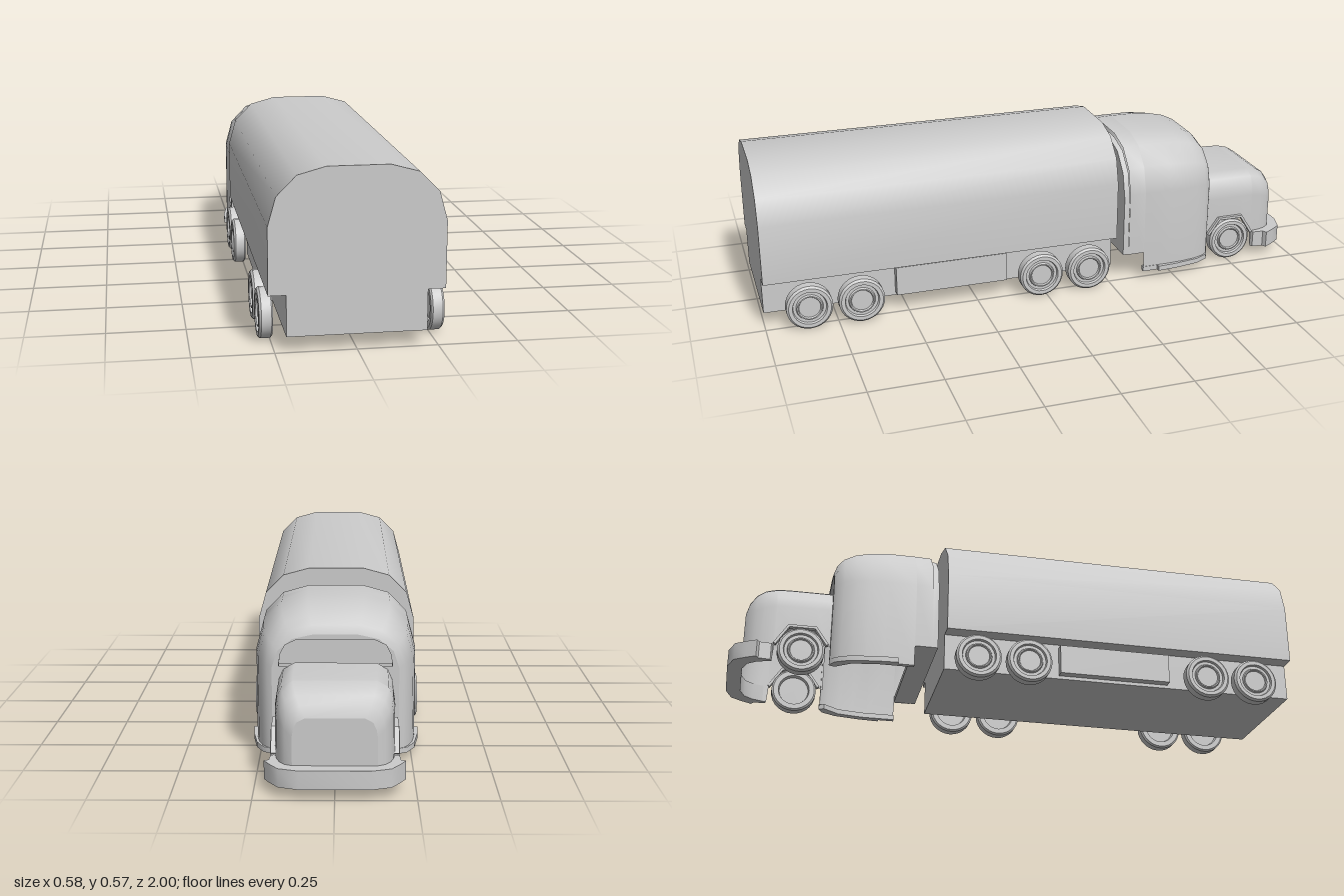
import * as THREE from 'three';
import { toCreasedNormals } from 'three/addons/utils/BufferGeometryUtils.js';

const grey = new THREE.MeshStandardMaterial({ color: 0xcccccc, side: THREE.DoubleSide });

// Shoulder curves as fractions of half width and shoulder height
const ROUND = [[1, 0], [0.907, 0.51], [0.678, 0.864], [0.352, 1]];
const BOXY = [[1, 0], [0.97, 0.4], [0.89, 0.78], [0.7, 1]];

// Arched cross-section from the right foot over the roof to the left foot
function arch(w, foot, top, drop, curve) {
  const half = [[w, foot], ...curve.map(([u, v]) => [u * w, top - drop + v * drop])];
  return [...half, ...half.map(([x, y]) => [-x, y]).reverse()];
}

// Smooth skin through sections [{ z, pts }] running towards -z
function loft(sections) {
  const n = sections[0].pts.length;
  const pos = sections.flatMap(s => s.pts.flatMap(([x, y]) => [x, y, s.z]));
  const index = [];
  for (let i = 0; i < sections.length - 1; i++) {
    for (let j = 0; j < n - 1; j++) {
      const a = i * n + j, b = a + 1, c = a + n, d = c + 1;
      index.push(a, c, b, b, c, d);
    }
  }
  const g = new THREE.BufferGeometry();
  g.setAttribute('position', new THREE.Float32BufferAttribute(pos, 3));
  g.setIndex(index);
  g.computeVertexNormals();
  return g;
}

const shapeOf = pts => new THREE.Shape(pts.map(p => new THREE.Vector2(...p)));

function extrude(shape, depth) {
  return toCreasedNormals(new THREE.ExtrudeGeometry(shape, { depth, bevelEnabled: false }), 0.7);
}

// Plan outline [x, z] raised from y0 to y1
function plan(pts, y0, y1) {
  const g = extrude(shapeOf(pts), y1 - y0);
  return g.rotateX(Math.PI / 2).translate(0, y1, 0);
}

export function createModel() {
  const model = new THREE.Group();
  const add = (name, geometry, parent = model) => {
    const m = new THREE.Mesh(geometry, grey);
    m.name = name;
    parent.add(m);
    return m;
  };
  const box = (name, x0, x1, y0, y1, z0, z1) => add(name,
    new THREE.BoxGeometry(x1 - x0, y1 - y0, z1 - z0).translate((x0 + x1) / 2, (y0 + y1) / 2, (z0 + z1) / 2));

  // Trailer: arched body and narrower chassis in one profile
  const body = arch(0.27, 0.18, 0.567, 0.177, ROUND);
  const trailer = [[0.215, 0.05], [0.215, 0.18], ...body, [-0.215, 0.18], [-0.215, 0.05]];
  add('trailer', extrude(shapeOf(trailer), 1.27).translate(0, 0, -0.27));

  // Cab skin: full at the rear, rounded in towards the windscreen
  const cabStations = [ // z, half width, foot, top, shoulder drop
    [-0.32, 0.265, 0.105, 0.518, 0.18], [-0.379, 0.265, 0.105, 0.52, 0.18],
    [-0.381, 0.265, 0.04, 0.52, 0.18], [-0.48, 0.265, 0.04, 0.52, 0.18],
    [-0.54, 0.261, 0.04, 0.513, 0.175], [-0.59, 0.253, 0.04, 0.502, 0.165],
    [-0.63, 0.239, 0.04, 0.483, 0.15], [-0.652, 0.222, 0.04, 0.458, 0.13],
    [-0.662, 0.205, 0.04, 0.43, 0.11]];
  const cabSections = cabStations.map(([z, w, foot, top, drop]) => ({ z, pts: arch(w, foot, top, drop, ROUND) }));
  add('cabShell', loft(cabSections));

  // Cab front wall with a tunnel under the bonnet and an arched window opening
  const front = cabSections[cabSections.length - 1].pts;
  const wall = shapeOf([...front, [-0.18, 0.04], [-0.18, 0.28], [0.18, 0.28], [0.18, 0.04]]);
  const opening = arch(0.182, 0.325, 0.412, 0.075, BOXY);
  wall.holes.push(new THREE.Path(opening.map(p => new THREE.Vector2(...p))));
  add('cabFrontWall', new THREE.ShapeGeometry(wall).translate(0, 0, -0.662));
  add('windscreenFrame', toCreasedNormals(loft([-0.662, -0.635].map(z => ({ z, pts: opening }))), 0.7));
  add('windscreen', new THREE.ShapeGeometry(shapeOf(opening)).translate(0, 0, -0.635));

  // Cab rear panel and floor edge
  add('cabRearPanel', extrude(shapeOf(arch(0.262, 0.105, 0.505, 0.18, ROUND)), 0.02).translate(0, 0, -0.32));
  box('cabFloor', -0.262, 0.262, 0.105, 0.125, -0.38, -0.31);

  // Sills wrapping the lower cab sides
  for (const s of [1, -1]) {
    const sill = [[0.25, -0.38], [0.267, -0.38], [0.267, -0.435], [0.28, -0.437], [0.275, -0.51],
      [0.26, -0.6], [0.235, -0.648], [0.205, -0.664], [0.195, -0.645], [0.235, -0.59], [0.25, -0.5]];
    add(s > 0 ? 'leftSill' : 'rightSill', plan(sill.map(([x, z]) => [s * x, z]), 0.03, 0.048));
  }

  // Bonnet: its lower edge rises over the front wheels
  const hoodStations = [
    [-0.655, 0.188, 0.1, 0.335, 0.09], [-0.675, 0.188, 0.11, 0.335, 0.09],
    [-0.715, 0.188, 0.165, 0.335, 0.09], [-0.805, 0.187, 0.165, 0.335, 0.09],
    [-0.85, 0.185, 0.1, 0.334, 0.09], [-0.855, 0.185, 0.04, 0.333, 0.09],
    [-0.89, 0.18, 0.04, 0.325, 0.088], [-0.92, 0.17, 0.04, 0.307, 0.082],
    [-0.942, 0.153, 0.04, 0.28, 0.075], [-0.954, 0.13, 0.04, 0.245, 0.06]];
  const hood = hoodStations.map(([z, w, foot, top, drop]) => ({ z, pts: arch(w, foot, top, drop, BOXY) }));
  add('bonnet', loft(hood));
  add('grille', new THREE.ShapeGeometry(shapeOf(hood[hood.length - 1].pts)).translate(0, 0, -0.954));

  // Wheel arch lips, drawn in (z, y) and extruded along x
  const lip = [[-0.855, 0.1], [-0.808, 0.172], [-0.712, 0.172], [-0.668, 0.11],
    [-0.676, 0.105], [-0.716, 0.163], [-0.804, 0.163], [-0.847, 0.095]];
  for (const s of [1, -1]) {
    const g = extrude(shapeOf(lip.map(([z, y]) => [-z, y])), 0.02).rotateY(Math.PI / 2);
    add(s > 0 ? 'leftArchLip' : 'rightArchLip', g.translate(s > 0 ? 0.18 : -0.2, 0, 0));
  }

  // Wrap-around bumper
  const outer = [[0.188, -0.855], [0.2, -0.86], [0.203, -0.9], [0.218, -0.908], [0.2, -0.94], [0.172, -0.98], [0.11, -1]];
  const inner = [[0.1, -0.95], [0.145, -0.935], [0.17, -0.905]];
  const mirror = pts => pts.map(([x, z]) => [-x, z]).reverse();
  add('bumper', plan([...outer, ...mirror(outer), ...mirror(inner), ...inner], 0.035, 0.095));

  // Side lockers between the trailer axles
  box('leftLocker', 0.21, 0.245, 0.062, 0.167, 0.14, 0.54);
  box('rightLocker', -0.245, -0.21, 0.062, 0.167, 0.14, 0.54);

  // Wheels: chamfered tyre, stepped rim and raised hub; [radius, offset] outwards
  const profile = [[0, -0.008], [0.052, -0.008], [0.056, -0.022], [0.074, -0.022], [0.08, -0.017],
    [0.08, 0.014], [0.073, 0.021], [0.06, 0.021], [0.057, 0.012], [0.047, 0.012],
    [0.044, 0.02], [0.04, 0.02], [0.037, 0.014], [0, 0.014]];
  const tyre = toCreasedNormals(new THREE.LatheGeometry(profile.map(p => new THREE.Vector2(...p)), 28), 0.6);
  tyre.rotateZ(-Math.PI / 2);
  const axles = [[-0.76, 0.182, 'front'], [-0.16, 0.267, 'trailerFirst'], [0.02, 0.267, 'trailerSecond'],
    [0.67, 0.267, 'trailerThird'], [0.85, 0.267, 'trailerFourth']];
  for (const [z, x, name] of axles) {
    for (const s of [1, -1]) {
      const wheel = add(name + (s > 0 ? 'LeftWheel' : 'RightWheel'), tyre);
      wheel.position.set(s * x, 0.081, z);
      if (s < 0) wheel.rotation.y = Math.PI;
    }
  }
  return model;
}
